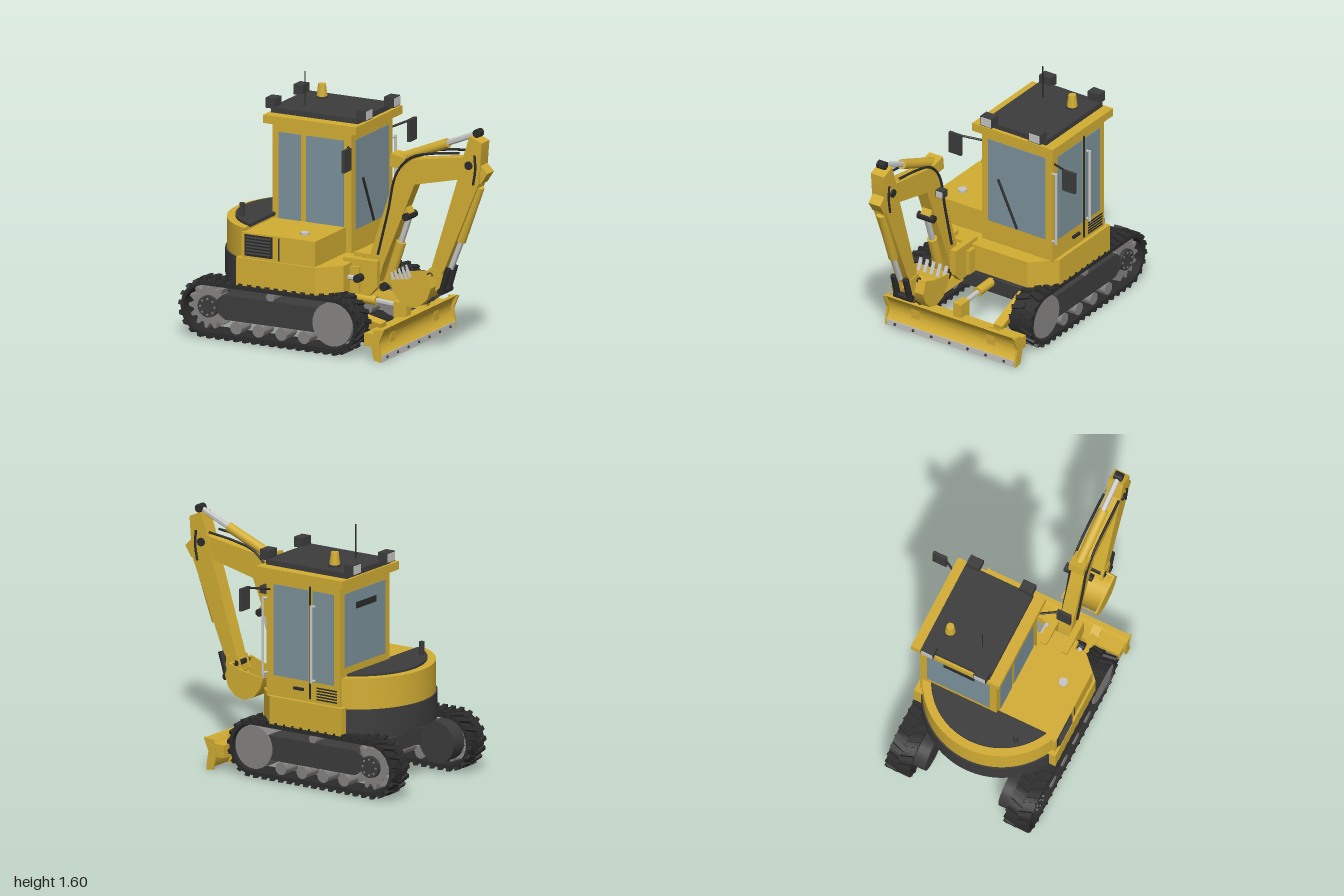
import * as THREE from 'three';
import { toCreasedNormals } from 'three/addons/utils/BufferGeometryUtils.js';

const mat = (name, color, side = THREE.FrontSide) => {
  const m = new THREE.MeshStandardMaterial({ color, side });
  m.name = name;
  return m;
};

export function createModel() {
  const yellow = mat('yellow paint', 0xd2ad33), dark = mat('dark grey', 0x3c3c3c), rubber = mat('black rubber', 0x2b2b2b),
    steel = mat('steel grey', 0x858381), silver = mat('light silver', 0xc6c6c4), glass = mat('tinted glass', 0x7c929b);
  const model = new THREE.Group();
  const V = (x, y, z) => new THREE.Vector3(x, y, z);
  const CZ = 0.085, BZ = 0.245; // machine centre line, boom centre line

  const add = (name, geo, m, parent = model) => {
    const mesh = new THREE.Mesh(geo, m);
    mesh.name = name;
    parent.add(mesh);
    return mesh;
  };
  const group = (name) => {
    const g = new THREE.Group();
    g.name = name;
    model.add(g);
    return g;
  };
  // box from its two corners
  const box = (name, m, x0, x1, y0, y1, z0, z1, p) => {
    const b = add(name, new THREE.BoxGeometry(x1 - x0, y1 - y0, z1 - z0), m, p);
    b.position.set((x0 + x1) / 2, (y0 + y1) / 2, (z0 + z1) / 2);
    return b;
  };
  // rod between two points
  const rod = (name, m, a, b, r, p, sides = 16, r2 = r) => {
    const g = toCreasedNormals(new THREE.CylinderGeometry(r2, r, a.distanceTo(b), sides), 0.8);
    if (sides === 4) g.rotateY(Math.PI / 4);
    const c = add(name, g, m, p);
    c.position.copy(a).lerp(b, 0.5);
    c.quaternion.setFromUnitVectors(V(0, 1, 0), b.clone().sub(a).normalize());
    return c;
  };
  const pin = (name, m, x, y, z0, z1, r, p, sides = 24) => rod(name, m, V(x, y, z0), V(x, y, z1), r, p, sides);
  const shapeOf = (pts) => new THREE.Shape(pts.map(([x, y]) => new THREE.Vector2(x, y)));
  // side profile swept across z
  const slab = (name, m, shape, z0, z1, p, crease = 0.5) => {
    const g = new THREE.ExtrudeGeometry(shape, { depth: z1 - z0, bevelEnabled: false, curveSegments: 20 });
    return add(name, toCreasedNormals(g.translate(0, 0, z0), crease), m, p);
  };
  // plan outline raised along y (shape y is -z)
  const plan = (name, m, shape, y0, y1, p) => {
    const g = new THREE.ExtrudeGeometry(shape, { depth: y1 - y0, bevelEnabled: false, curveSegments: 40 });
    return add(name, toCreasedNormals(g.rotateX(-Math.PI / 2).translate(0, y0, 0), 0.5), m, p);
  };
  // rear round segment, cut off straight at x
  const rearRound = (r, cut) => {
    const a = Math.acos((cut + 0.37) / r);
    return new THREE.Shape().absarc(-0.37, -CZ, r, a, 2 * Math.PI - a, false);
  };

  // ---- crawler tracks
  const XA = -0.81, XB = 0.07, YC = 0.19;
  const stadium = (r, S) => {
    const s = new S();
    s.absarc(XB, YC, r, -Math.PI / 2, Math.PI / 2, false);
    s.absarc(XA, YC, r, Math.PI / 2, Math.PI * 1.5, false);
    s.closePath();
    return s;
  };
  const gear = shapeOf(Array.from({ length: 56 }, (_, i) => {
    const a = (i / 56) * 2 * Math.PI, r = i % 4 < 2 ? 0.143 : 0.112;
    return [-0.8 + r * Math.cos(a), 0.2 + r * Math.sin(a)];
  }));
  const loopPoint = (s) => {
    const R = 0.175, L = XB - XA, h = Math.PI * R;
    if (s < L) return [XA + s, YC - R, -Math.PI / 2];
    if (s < L + h) { const a = (s - L) / R - Math.PI / 2; return [XB + R * Math.cos(a), YC + R * Math.sin(a), a]; }
    if (s < 2 * L + h) return [XB - (s - L - h), YC + R, Math.PI / 2];
    const a = (s - 2 * L - h) / R + Math.PI / 2;
    return [XA + R * Math.cos(a), YC + R * Math.sin(a), a];
  };
  for (const side of [1, -1]) {
    const t = group(side > 0 ? 'rightTrack' : 'leftTrack');
    t.position.z = CZ + side * 0.405;
    const belt = stadium(0.17, THREE.Shape);
    belt.holes.push(stadium(0.147, THREE.Path));
    slab('trackBelt', rubber, belt, -0.08, 0.08, t);
    const n = 46, total = 2 * (XB - XA) + 2 * Math.PI * 0.175, bar = new THREE.BoxGeometry(0.028, 0.022, 0.088);
    for (let i = 0; i < n; i++) for (const half of [1, -1]) {
      const [x, y, a] = loopPoint(((i + (half > 0 ? 0.5 : 0)) / n) * total);
      const lug = add('trackLug', bar, rubber, t);
      lug.position.set(x, y, half * 0.039);
      lug.rotation.set(0, half * 0.35, a - Math.PI / 2, 'ZYX');
    }
    slab('trackFrame', dark, shapeOf([[-0.74, 0.17], [-0.68, 0.13], [0.07, 0.13], [0.07, 0.285], [-0.7, 0.285], [-0.74, 0.25]]), -0.062, 0.062, t);
    slab('sprocket', steel, gear, -0.045, 0.045, t, 0.2);
    pin('sprocketHub', dark, -0.8, 0.2, -0.07, 0.07, 0.068, t);
    for (let i = 0; i < 8; i++) {
      const a = (i * Math.PI) / 4;
      pin('hubBolt', steel, -0.8 + 0.05 * Math.cos(a), 0.2 + 0.05 * Math.sin(a), -0.074, 0.074, 0.007, t, 6);
    }
    pin('idlerWheel', steel, 0.065, 0.195, -0.07, 0.07, 0.137, t, 40);
    for (const x of [-0.605, -0.45, -0.292, -0.135]) pin('trackRoller', steel, x, 0.087, -0.065, 0.065, 0.04, t);
    pin('carrierRoller', steel, -0.37, 0.31, -0.06, 0.06, 0.028, t);
    pin('driveMotor', dark, -0.79, 0.2, -side * 0.155, -side * 0.04, 0.13, t, 32);
  }

  // ---- undercarriage and dozer blade
  box('carBody', dark, -0.68, -0.02, 0.18, 0.275, -0.27, 0.44);
  rod('slewRing', dark, V(-0.37, 0.27, CZ), V(-0.37, 0.325, CZ), 0.245, model, 40);
  const blade = group('dozerBlade');
  const curve = new THREE.Shape();
  curve.moveTo(0.41, 0.04);
  curve.quadraticCurveTo(0.34, 0.12, 0.42, 0.205);
  curve.lineTo(0.39, 0.205);
  curve.quadraticCurveTo(0.32, 0.12, 0.375, 0.02);
  slab('bladeSheet', yellow, curve, -0.39, 0.56, blade, 0.6);
  const cheek = shapeOf([[0.36, 0.01], [0.41, 0.0], [0.405, 0.06], [0.395, 0.12], [0.43, 0.205], [0.36, 0.2], [0.34, 0.1]]);
  for (const z of [-0.402, 0.56]) slab('bladeCheek', yellow, cheek, z, z + 0.012, blade);
  box('cuttingEdge', silver, 0.375, 0.412, 0, 0.042, -0.385, 0.555, blade);
  for (let i = 0; i < 7; i++) rod('edgeBolt', dark, V(0.41, 0.022, -0.315 + i * 0.135), V(0.418, 0.022, -0.315 + i * 0.135), 0.009, blade, 8);
  box('bladeBackBeam', yellow, 0.285, 0.375, 0.09, 0.17, -0.39, 0.56, blade);
  for (const s of [1, -1]) {
    slab('bladeRib', yellow, shapeOf([[0.28, 0.02], [0.38, 0.01], [0.385, 0.2], [0.28, 0.15]]), CZ + s * 0.28 - 0.03, CZ + s * 0.28 + 0.03, blade);
    rod('bladeArm', yellow, V(-0.06, 0.23, CZ + s * 0.23), V(0.32, 0.17, CZ + s * 0.29), 0.042, blade, 4);
  }
  rod('bladeCylinder', yellow, V(-0.05, 0.25, CZ), V(0.12, 0.245, CZ), 0.03, blade);
  rod('bladeCylinderRod', silver, V(0.1, 0.245, CZ), V(0.27, 0.235, CZ), 0.016, blade);
  box('bladeCylinderLug', yellow, 0.25, 0.34, 0.15, 0.26, CZ - 0.03, CZ + 0.03, blade);

  // ---- upper structure
  const body = group('upperBody');
  plan('deckPlate', dark, new THREE.Shape().absarc(-0.37, -CZ, 0.4, 0, 2 * Math.PI, false), 0.315, 0.37, body);
  plan('lowerSkirt', yellow, shapeOf([[0.08, -0.44], [0.08, 0.26], [-0.06, 0.4], [-0.6, 0.4], [-0.6, -0.565], [-0.05, -0.565]]), 0.365, 0.54, body);
  plan('counterweight', dark, rearRound(0.495, -0.6), 0.365, 0.525, body);
  plan('rearBand', yellow, rearRound(0.485, -0.56), 0.525, 0.72, body);
  plan('rearLid', dark, rearRound(0.432, -0.55), 0.715, 0.735, body);
  rod('exhaust', dark, V(-0.68, 0.73, 0.335), V(-0.68, 0.82, 0.335), 0.016, body);
  box('sideHood', yellow, -0.57, -0.06, 0.53, 0.7, 0.14, 0.55, body);
  box('hoodSeam', dark, -0.313, -0.307, 0.545, 0.69, 0.545, 0.552, body);
  box('grillePanel', rubber, -0.545, -0.355, 0.555, 0.69, 0.545, 0.554, body);
  for (let i = 0; i < 6; i++) box('grilleSlat', dark, -0.535, -0.365, 0.567 + i * 0.02, 0.577 + i * 0.02, 0.55, 0.565, body).rotation.x = 0.5;
  rod('fuelCap', silver, V(-0.2, 0.7, 0.42), V(-0.2, 0.715, 0.42), 0.028, body);

  // ---- cab
  const cab = group('cab');
  box('cabShell', yellow, -0.57, -0.02, 0.53, 1.31, -0.375, 0.15, cab);
  box('cabRoof', yellow, -0.615, 0.03, 1.298, 1.35, -0.412, 0.188, cab);
  box('roofPlate', dark, -0.6, 0.005, 1.35, 1.383, -0.345, 0.115, cab);
  box('frontWindow', glass, -0.022, -0.016, 0.68, 1.245, -0.325, 0.1, cab);
  box('rearWindow', glass, -0.574, -0.568, 0.78, 1.245, -0.325, 0.1, cab);
  box('rearVent', rubber, -0.578, -0.572, 1.13, 1.17, -0.21, 0, cab);
  for (const [z, y0] of [[0.15, 0.7], [-0.375, 0.67]]) {
    box('sideWindowRear', glass, -0.525, -0.37, y0, 1.245, z - 0.004, z + 0.004, cab);
    box('sideWindowFront', glass, -0.335, -0.075, y0, 1.245, z - 0.004, z + 0.004, cab);
  }
  box('doorSeam', rubber, -0.356, -0.346, 0.56, 1.27, -0.382, -0.372, cab);
  box('doorHandle', rubber, -0.3, -0.23, 0.605, 0.622, -0.39, -0.372, cab);
  for (let i = 0; i < 5; i++) box('ventSlat', rubber, -0.55, -0.4, 0.56 + i * 0.018, 0.568 + i * 0.018, -0.38, -0.372, cab);
  for (const x of [-0.015, -0.375]) {
    rod('handRail', silver, V(x, 0.67, -0.405), V(x, 1.16, -0.405), 0.009, cab, 10);
    for (const y of [0.68, 1.15]) rod('railMount', silver, V(x - 0.01, y, -0.37), V(x, y, -0.405), 0.008, cab, 8);
  }
  rod('wiper', rubber, V(-0.01, 0.69, -0.118), V(-0.01, 0.99, 0.022), 0.008, cab, 8);
  for (const s of [1, -1]) {
    rod('mirrorArm', rubber, V(-0.05, 1.205, -0.112 + s * 0.25), V(0.03, 1.235, -0.112 + s * 0.4), 0.007, cab, 8);
    box('mirror', dark, 0.02, 0.04, 1.1, 1.24, -0.112 + s * 0.423 - 0.046, -0.112 + s * 0.423 + 0.046, cab);
  }
  // roof lamps, antenna and beacon
  for (const s of [1, -1]) for (const z of [-0.293, 0.067]) {
    const x = s > 0 ? 0.022 : -0.607, f = x + s * 0.033;
    box('roofLamp', dark, x - 0.033, x + 0.033, 1.373, 1.437, z - 0.043, z + 0.043, cab);
    box('lampLens', silver, f - 0.003, f + 0.003, 1.378, 1.432, z - 0.038, z + 0.038, cab);
  }
  rod('antenna', rubber, V(-0.433, 1.38, -0.015), V(-0.433, 1.6, -0.015), 0.004, cab, 8);
  rod('beaconBase', dark, V(-0.433, 1.38, -0.235), V(-0.433, 1.395, -0.235), 0.038, cab);
  rod('beacon', yellow, V(-0.433, 1.39, -0.235), V(-0.433, 1.472, -0.235), 0.034, cab, 20, 0.024);

  // ---- boom and arm
  const boom = group('boom');
  box('swingBracket', yellow, 0.02, 0.14, 0.36, 0.52, 0.13, 0.355, boom);
  for (const s of [1, -1]) slab('swingCheek', yellow, shapeOf([[0.02, 0.35], [0.2, 0.34], [0.255, 0.4], [0.255, 0.565], [0.02, 0.565]]), BZ + s * 0.07 - 0.02, BZ + s * 0.07 + 0.02, boom);
  rod('swingCylinderRod', silver, V(0.06, 0.455, 0.375), V(0.145, 0.455, 0.375), 0.016, boom);
  pin('swingPin', rubber, 0.145, 0.455, 0.34, 0.395, 0.025, boom);
  slab('boomBeam', yellow, shapeOf([[0.165, 0.45], [0.175, 0.57], [0.365, 1.14], [0.47, 1.225], [0.9, 1.295], [0.995, 1.2], [0.95, 1.13],
    [0.86, 1.155], [0.49, 1.07], [0.27, 0.53], [0.24, 0.42]]), 0.202, 0.288, boom);
  slab('armBeam', yellow, shapeOf([[0.6, 0.53], [0.8, 1.17], [0.83, 1.29], [0.875, 1.425], [0.96, 1.39], [0.94, 1.14], [0.7, 0.56], [0.66, 0.5]]), 0.196, 0.294, boom);
  for (const [x, y, r] of [[0.87, 1.24, 0.026], [0.21, 0.5, 0.022], [0.435, 0.86, 0.024], [0.28, 0.4, 0.026]]) pin('boomPin', rubber, x, y, 0.185, 0.305, r, boom);
  rod('boomCylinder', yellow, V(0.28, 0.4, BZ), V(0.375, 0.685, BZ), 0.032, boom);
  rod('boomCylinderRod', silver, V(0.37, 0.67, BZ), V(0.435, 0.86, BZ), 0.019, boom);
  slab('boomCylinderLug', yellow, shapeOf([[0.36, 0.84], [0.44, 0.84], [0.45, 0.88], [0.42, 0.93]]), 0.21, 0.28, boom);
  slab('armCylinderLug', yellow, shapeOf([[0.32, 1.165], [0.41, 1.16], [0.43, 1.23], [0.33, 1.25]]), 0.195, 0.295, boom);
  rod('armCylinder', yellow, V(0.37, 1.215, BZ), V(0.7, 1.35, BZ), 0.031, boom);
  rod('armCylinderRod', silver, V(0.69, 1.347, BZ), V(0.905, 1.437, BZ), 0.018, boom);
  pin('armCylinderPin', rubber, 0.91, 1.44, 0.218, 0.272, 0.026, boom);
  for (const z of [0.194, 0.296]) {
    const hose = (name, pts) => add(name, new THREE.TubeGeometry(new THREE.CatmullRomCurve3(pts.map(([x, y]) => V(x, y, z))), 30, 0.008, 8), rubber, boom);
    hose('boomHose', [[0.24, 0.6], [0.31, 0.88], [0.37, 1.13], [0.47, 1.24], [0.62, 1.285], [0.81, 1.31]]);
    hose('armHose', [[0.91, 1.31], [0.915, 1.22], [0.9, 1.12]]);
  }
  box('workLamp', dark, 0.35, 0.4, 1.0, 1.047, 0.148, 0.205, boom);
  box('workLampLens', silver, 0.398, 0.404, 1.004, 1.043, 0.152, 0.198, boom);

  // ---- bucket and linkage
  const bucket = group('bucket');
  const outer = [[0.36, 0.47], [0.38, 0.4], [0.43, 0.34], [0.5, 0.313], [0.57, 0.33], [0.62, 0.38], [0.645, 0.45], [0.615, 0.53]];
  const inner = outer.map(([x, y]) => [0.5 + (x - 0.5) * 0.92, 0.45 + (y - 0.45) * 0.92]).reverse();
  slab('bucketShell', yellow, shapeOf([...outer, ...inner]), 0.125, 0.365, bucket, 0.7);
  for (const z of [0.125, 0.355]) slab('bucketSide', yellow, shapeOf([...outer, [0.52, 0.495]]), z, z + 0.01, bucket);
  for (let i = 0; i < 5; i++) {
    const z = 0.15 + i * 0.0475;
    slab('bucketTooth', silver, shapeOf([[0.372, 0.43], [0.39, 0.44], [0.357, 0.515]]), z - 0.012, z + 0.012, bucket);
  }
  for (const z of [0.2, BZ, 0.29]) slab('wearStrip', dark, shapeOf([[0.5, 0.309], [0.574, 0.325], [0.626, 0.378], [0.615, 0.384], [0.57, 0.335], [0.5, 0.32]]), z - 0.004, z + 0.004, bucket);
  for (const z of [0.19, 0.28]) {
    slab('bucketEar', yellow, shapeOf([[0.57, 0.47], [0.65, 0.42], [0.69, 0.44], [0.68, 0.55], [0.6, 0.56]]), z, z + 0.02, bucket);
    rod('bucketLink', rubber, V(0.68, 0.42, z + 0.01), V(0.725, 0.57, z + 0.01), 0.02, bucket, 8);
  }
  pin('bucketPin', rubber, 0.605, 0.515, 0.18, 0.31, 0.018, bucket);
  pin('linkPin', rubber, 0.68, 0.42, 0.18, 0.31, 0.022, bucket);
  rod('bucketCylinderRod', silver, V(0.72, 0.56, BZ), V(0.8, 0.76, BZ), 0.018, bucket);
  rod('bucketCylinder', yellow, V(0.79, 0.74, BZ), V(0.92, 1.1, BZ), 0.03, bucket);
  return model;
}
